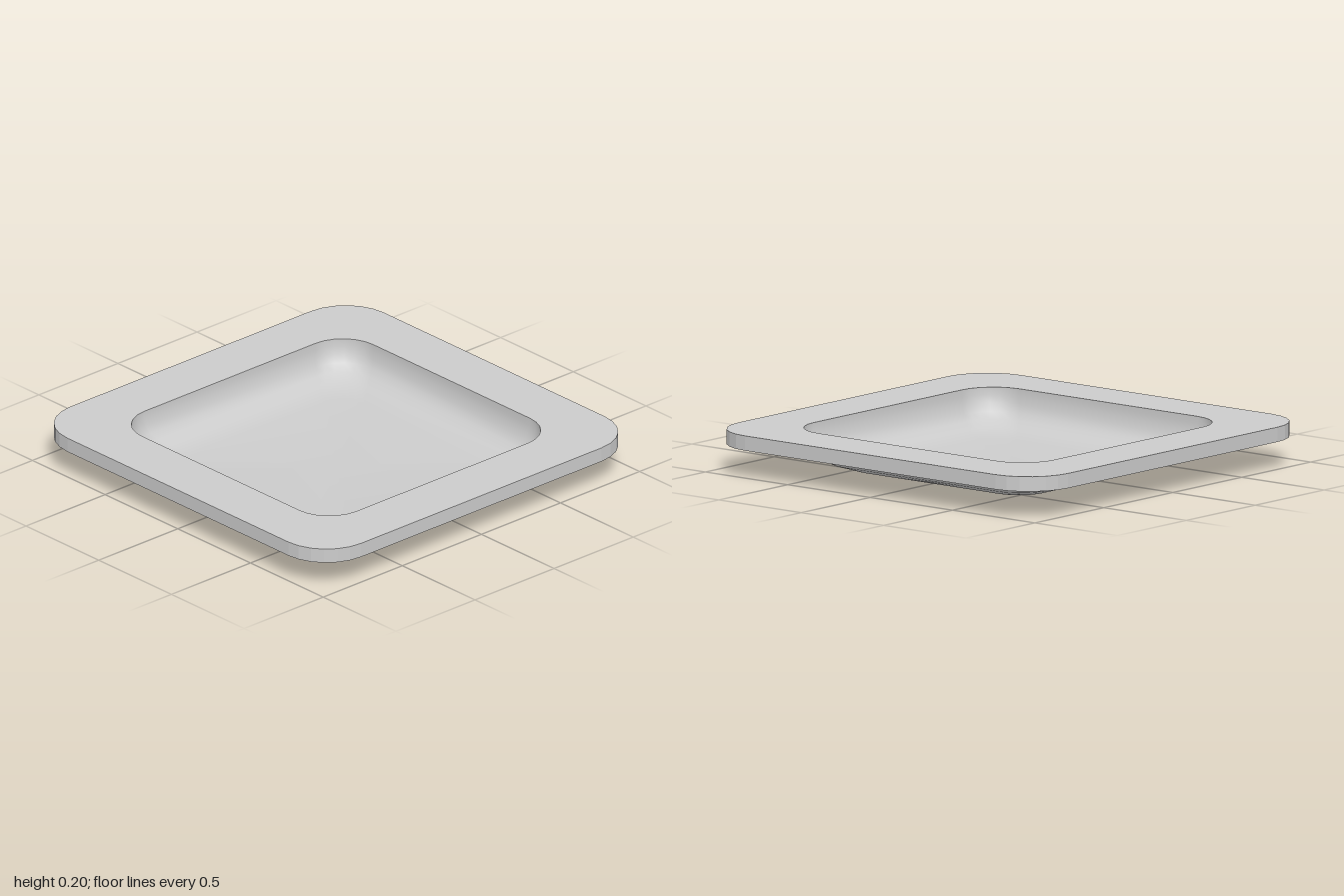
import * as THREE from 'three';
import { mergeVertices } from 'three/addons/utils/BufferGeometryUtils.js';

const CORNER_STEPS = 6;
const RING = 4 * (CORNER_STEPS + 1);

// Skins rounded-square rings, each given as [half width, corner radius, height]
function loftRoundedSquares(rings) {
  const positions = [], index = [];
  for (const [half, radius, y] of rings) {
    const centre = half - radius;
    for (let corner = 0; corner < 4; corner++) {
      const sx = corner === 0 || corner === 3 ? 1 : -1;
      const sz = corner < 2 ? 1 : -1;
      for (let s = 0; s <= CORNER_STEPS; s++) {
        const a = (corner + s / CORNER_STEPS) * Math.PI / 2;
        positions.push(sx * centre + radius * Math.cos(a), y, sz * centre + radius * Math.sin(a));
      }
    }
  }
  for (let i = 0; i < rings.length - 1; i++) {
    for (let j = 0; j < RING; j++) {
      const a = i * RING + j, b = i * RING + (j + 1) % RING;
      index.push(a, b + RING, b, a, a + RING, b + RING);
    }
  }
  const geometry = new THREE.BufferGeometry();
  geometry.setAttribute('position', new THREE.Float32BufferAttribute(positions, 3));
  geometry.setIndex(index);
  return geometry;
}

export function createModel() {
  const group = new THREE.Group();
  group.name = 'squareDish';

  // Thin rim, open underneath: faceted skirt and flat top
  const rimGeometry = loftRoundedSquares([
    [1, 0.24, 0.13], [1, 0.24, 0.2], [0.73, 0.19, 0.2],
  ]).toNonIndexed();
  rimGeometry.computeVertexNormals();
  const rim = new THREE.Mesh(rimGeometry,
    new THREE.MeshStandardMaterial({ color: 0xcccccc, flatShading: true, side: THREE.DoubleSide }));
  rim.name = 'rim';

  // Thin bowl: the rounded opening shrinks down a curved wall to the floor, closed at its centre
  const profile = [[0.73, 0.2], [0.729, 0.165], [0.721, 0.13], [0.707, 0.09],
    [0.677, 0.06], [0.634, 0.032], [0.545, 0], [0, 0]];
  const bowlGeometry = mergeVertices(
    loftRoundedSquares(profile.map(([half, y]) => [half, half * 0.26, y])));
  bowlGeometry.computeVertexNormals();
  const bowl = new THREE.Mesh(bowlGeometry,
    new THREE.MeshStandardMaterial({ color: 0xcccccc, side: THREE.DoubleSide }));
  bowl.name = 'bowl';

  group.add(rim, bowl);
  return group;
}
